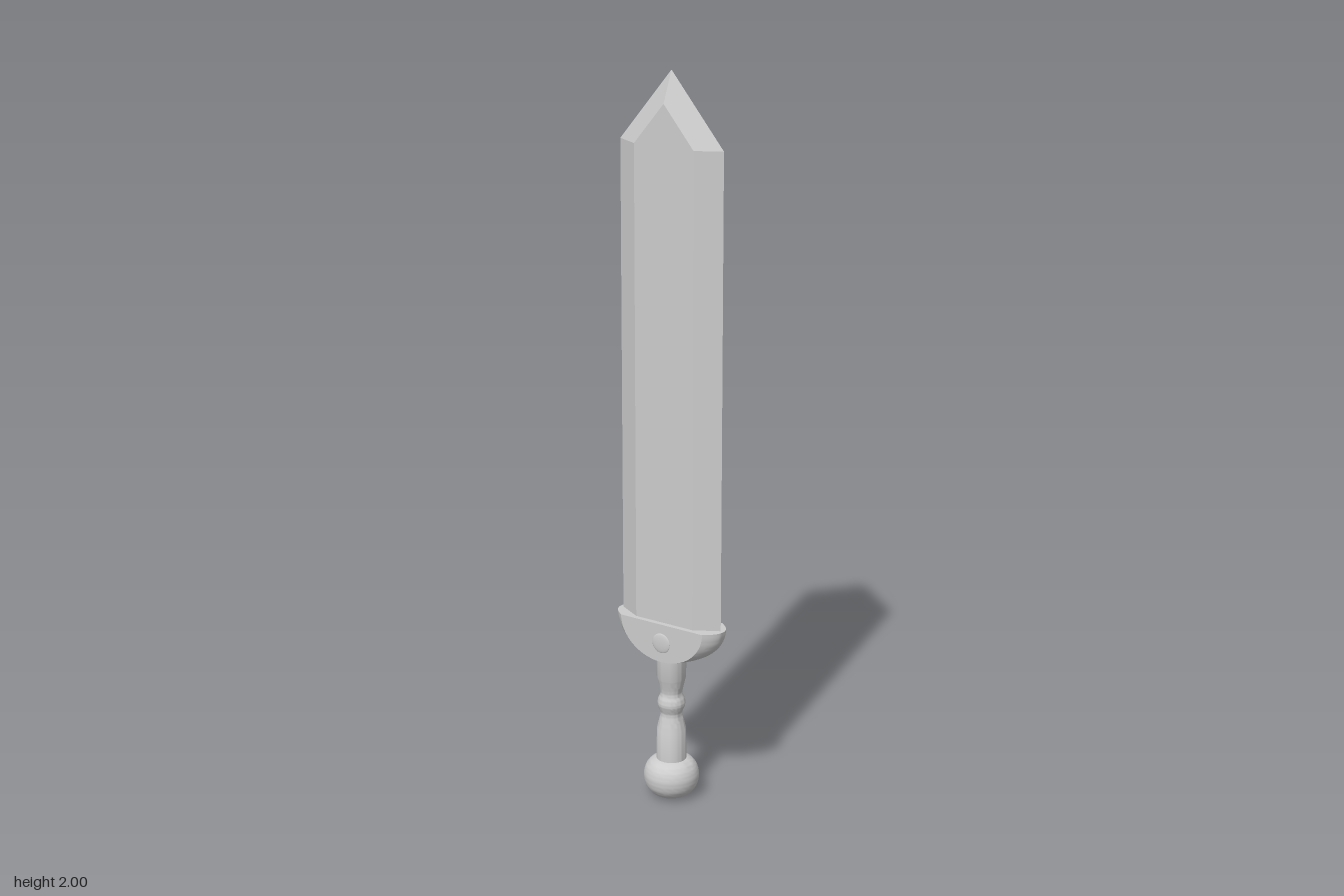
import * as THREE from 'three';
import { toCreasedNormals } from 'three/addons/utils/BufferGeometryUtils.js';

export function createModel() {
  const steel = new THREE.MeshStandardMaterial({ color: 0xcccccc });
  steel.name = 'steel grey';
  const sword = new THREE.Group();
  sword.name = 'sword';

  const add = (name, geometry) => {
    const mesh = new THREE.Mesh(geometry, steel);
    mesh.name = name;
    sword.add(mesh);
    return mesh;
  };
  const lathe = (points, creaseAngle) => toCreasedNormals(
    new THREE.LatheGeometry(points.map(([r, y]) => new THREE.Vector2(r, y)), 40), creaseAngle);

  // Blade: one quarter as flat facets, mirrored across x and z
  const w = 0.157, f = 0.09, d = 0.036, base = 0.51, shoulder = 1.81, ridge = 1.919;
  const quads = [
    [[0, base, d], [f, base, d], [f, shoulder, d], [0, ridge, d]],
    [[f, base, d], [w, base, 0], [w, shoulder, 0], [f, shoulder, d]],
    [[f, shoulder, d], [w, shoulder, 0], [0, 2, 0], [0, ridge, d]],
    [[0, base, 0], [w, base, 0], [f, base, d], [0, base, d]],
  ];
  const verts = [];
  for (const sx of [1, -1]) for (const sz of [1, -1]) {
    const order = sx * sz > 0 ? [0, 1, 2, 0, 2, 3] : [0, 2, 1, 0, 3, 2];
    for (const q of quads) for (const i of order) {
      verts.push(q[i][0] * sx, q[i][1], q[i][2] * sz);
    }
  }
  const blade = new THREE.BufferGeometry();
  blade.setAttribute('position', new THREE.Float32BufferAttribute(verts, 3));
  blade.computeVertexNormals();
  add('blade', blade);

  // Guard: half ellipse extruded front to back, its ends bulging outwards
  const half = 0.05, guardTop = 0.52;
  const shape = new THREE.Shape();
  shape.absellipse(0, 0, 0.167, 0.112, Math.PI, Math.PI * 2, false);
  shape.closePath();
  const guard = new THREE.ExtrudeGeometry(shape, {
    depth: half * 2, steps: 12, curveSegments: 24, bevelEnabled: false,
  });
  guard.translate(0, 0, -half);
  const p = guard.attributes.position;
  for (let i = 0; i < p.count; i++) {
    const t = (p.getZ(i) / half) ** 2;
    p.setX(i, p.getX(i) * (1 - 0.22 * t));
    p.setY(i, p.getY(i) * (1 - 0.03 * t) + guardTop);
  }
  add('guard', toCreasedNormals(guard, 0.6));

  // Shallow round studs on both guard faces
  for (const s of [1, -1]) {
    const stud = add(s > 0 ? 'frontStud' : 'backStud',
      new THREE.SphereGeometry(0.028, 24, 12, 0, Math.PI * 2, 0, Math.PI / 2));
    stud.scale.y = 0.16;
    stud.rotation.x = s * Math.PI / 2;
    stud.position.set(0, 0.466, s * half);
  }

  // Grip: turned handle with a central bulge between two waists
  const waist = new THREE.SplineCurve([
    [0.04, 0.2], [0.034, 0.225], [0.03, 0.248], [0.037, 0.268], [0.037, 0.285],
    [0.03, 0.305], [0.034, 0.33], [0.04, 0.355],
  ].map(([r, y]) => new THREE.Vector2(r, y))).getPoints(32).map(v => [v.x, v.y]);
  add('grip', lathe([[0.041, 0.1], ...waist, [0.04, 0.425]], 0.7));

  // Pommel: squashed ball with a flat top
  const ball = new THREE.SplineCurve([
    [0.025, 0.001], [0.05, 0.01], [0.069, 0.031], [0.076, 0.06],
    [0.071, 0.086], [0.058, 0.104], [0.042, 0.112],
  ].map(([r, y]) => new THREE.Vector2(r, y))).getPoints(28).map(v => [v.x, v.y]);
  add('pommel', lathe([[0, 0], ...ball, [0, 0.112]], 0.6));

  return sword;
}
